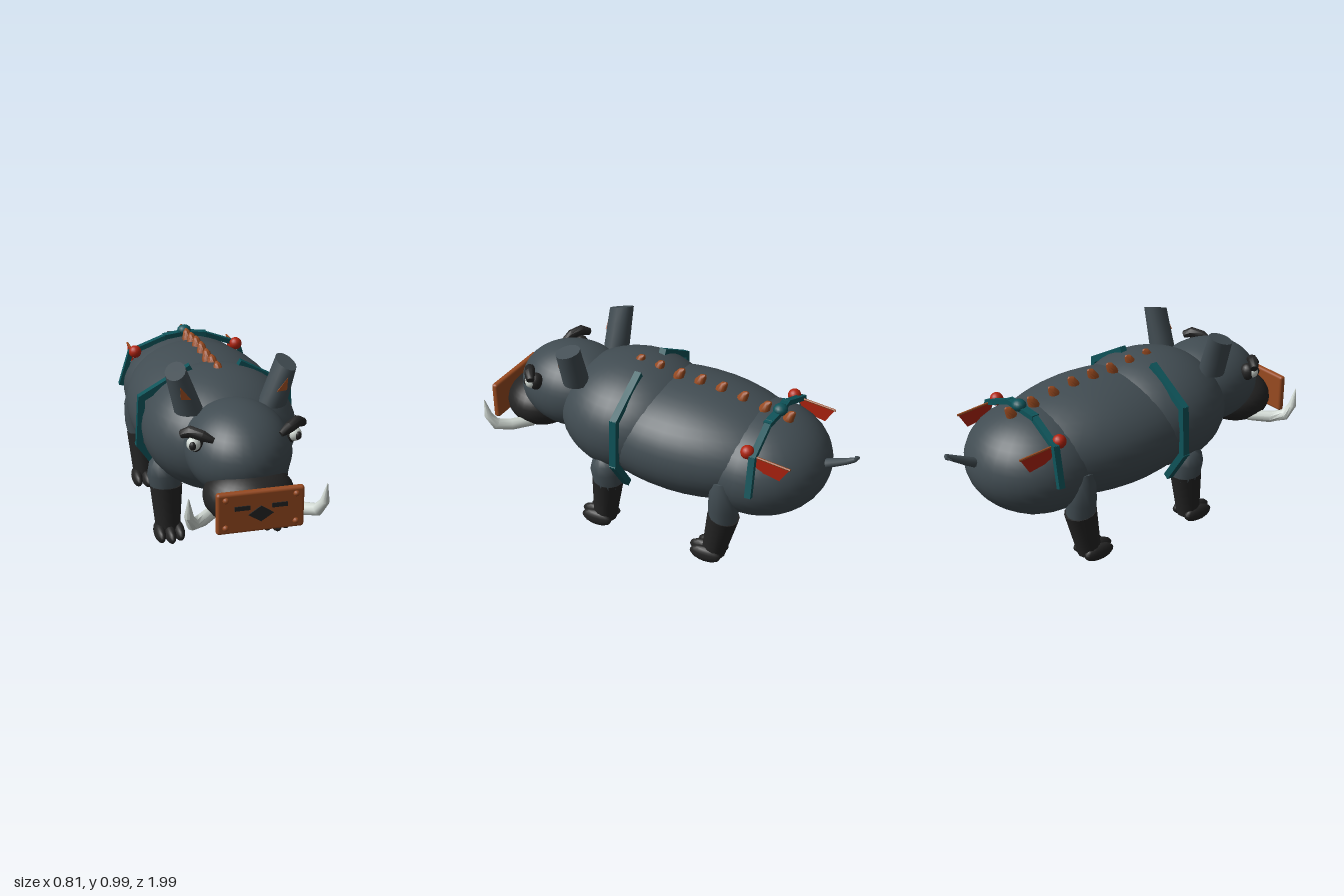
import * as THREE from 'three';
import { toCreasedNormals } from 'three/addons/utils/BufferGeometryUtils.js';
import { RoundedBoxGeometry } from 'three/addons/geometries/RoundedBoxGeometry.js';

const V = (x, y, z) => new THREE.Vector3(x, y, z);

function material(name, color, side = THREE.FrontSide) {
  const m = new THREE.MeshStandardMaterial({ color, side });
  m.name = name;
  return m;
}

// Closed tube through points [x, y, z, radius], with flat ends
function taper(points, sides = 12, crease = 0.8) {
  const pos = [], index = [], n = points.length;
  const p = points.map(q => V(q[0], q[1], q[2]));
  p.forEach((c, i) => {
    const t = p[Math.min(i + 1, n - 1)].clone().sub(p[Math.max(i - 1, 0)]).normalize();
    const ref = Math.abs(p[n - 1].y - p[0].y) > 0.14 && Math.abs(t.z) < 0.9 ? V(0, 0, 1) : V(0.3, 1, 0);
    const u = ref.addScaledVector(t, -ref.dot(t)).normalize();
    const v = t.clone().cross(u);
    for (let j = 0; j < sides; j++) {
      const a = j / sides * Math.PI * 2, r = points[i][3];
      const k = c.clone().addScaledVector(u, Math.cos(a) * r).addScaledVector(v, Math.sin(a) * r);
      pos.push(k.x, k.y, k.z);
    }
  });
  pos.push(...p[0].toArray(), ...p[n - 1].toArray());
  const first = n * sides, last = first + 1;
  for (let j = 0; j < sides; j++) {
    const k = (j + 1) % sides;
    for (let i = 0; i < n - 1; i++) {
      const a = i * sides + j, b = i * sides + k;
      index.push(a, b, a + sides, b, b + sides, a + sides);
    }
    index.push(first, k, j, last, (n - 1) * sides + j, (n - 1) * sides + k);
  }
  const g = new THREE.BufferGeometry();
  g.setAttribute('position', new THREE.Float32BufferAttribute(pos, 3));
  g.setIndex(index);
  return toCreasedNormals(g, crease);
}

export function createModel() {
  const hide = material('slate hide', 0x414c52);
  const dark = material('black', 0x242424);
  const rust = material('rust orange', 0x984a20);
  const teal = material('teal cloth', 0x0e5359);
  const red = material('red', 0xb0230f, THREE.DoubleSide);
  const ivory = material('ivory', 0xd0d8d2);

  const boar = new THREE.Group();
  boar.name = 'boar';
  boar.rotation.y = -0.05;
  const add = (name, geo, mat) => {
    const m = new THREE.Mesh(geo, mat);
    m.name = name;
    boar.add(m);
    return m;
  };
  const ball = (name, mat, c, r, detail = 24) => {
    const m = add(name, new THREE.SphereGeometry(1, detail, Math.ceil(detail * 0.7)), mat);
    m.position.set(...c);
    m.scale.set(...r);
    return m;
  };
  // Chain of flat strap pieces
  const strap = (name, pts, width, thick) => {
    for (let i = 0; i < pts.length - 1; i++) {
      const a = V(...pts[i]), b = V(...pts[i + 1]);
      const m = add(name, new THREE.BoxGeometry(width, thick, a.distanceTo(b) + thick * 0.6), teal);
      const d = b.clone().sub(a).normalize();
      const x = V(0, 0, 1).addScaledVector(d, -d.z).normalize();
      m.quaternion.setFromRotationMatrix(new THREE.Matrix4().makeBasis(x, d.clone().cross(x), d));
      m.position.copy(a).add(b).multiplyScalar(0.5);
    }
  };
  const plate = (name, pts, depth, mat) => {
    const shape = new THREE.Shape(pts.map(q => new THREE.Vector2(...q)));
    return add(name, new THREE.ExtrudeGeometry(shape, { depth, bevelEnabled: false }), mat);
  };

  // Body, head and snout
  ball('rump', hide, [0, 0.5, -0.5], [0.35, 0.267, 0.347], 32);
  ball('belly', hide, [0, 0.537, -0.12], [0.39, 0.285, 0.62], 32);
  ball('shoulders', hide, [0, 0.565, 0.2], [0.38, 0.3, 0.4], 32);
  ball('head', hide, [0, 0.615, 0.57], [0.25, 0.22, 0.295], 32);
  ball('snout', dark, [0, 0.475, 0.775], [0.212, 0.138, 0.19], 28);

  // Face plate with rivets, slots and diamond
  add('facePlate', new RoundedBoxGeometry(0.4, 0.2, 0.035, 3, 0.014), rust).position.set(0, 0.49, 0.96);
  for (const x of [-0.16, 0.16]) for (const y of [0.425, 0.56])
    ball('rivet', rust, [x, y, 0.978], [0.014, 0.014, 0.014], 12);
  for (const x of [-0.085, 0.085])
    add('plateSlot', new THREE.BoxGeometry(0.07, 0.021, 0.008), dark).position.set(x, 0.515, 0.978);
  plate('plateDiamond', [[-0.058, 0.48], [0, 0.442], [0.058, 0.48], [0, 0.519]], 0.008, dark).position.z = 0.974;

  // Spikes along the back, leaning backwards
  const spikes = [[0.18, 0.855], [0.07, 0.85], [-0.045, 0.838], [-0.16, 0.835],
    [-0.275, 0.825], [-0.39, 0.805], [-0.51, 0.785], [-0.635, 0.765]];
  for (const [z, y] of spikes)
    add('backSpike', taper([[0, y - 0.06, z + 0.025, 0.031], [0, y - 0.01, z + 0.01, 0.027],
      [0, y + 0.018, z - 0.007, 0.019], [0, y + 0.03, z - 0.02, 0.006]], 10), rust);

  // Tail with a small hook
  add('tail', taper([[0, 0.54, -0.79, 0.026], [0.005, 0.58, -0.87, 0.022], [0.012, 0.615, -0.94, 0.016],
    [0.014, 0.635, -0.975, 0.012], [-0.008, 0.637, -0.985, 0.008], [-0.024, 0.627, -0.965, 0.003]], 8), hide);

  // Knot on the rump strap
  ball('strapKnot', teal, [0, 0.79, -0.58], [0.038, 0.03, 0.036], 14);
  strap('rumpStrap', [[-0.11, 0.768, -0.565], [0, 0.778, -0.575], [0.11, 0.768, -0.565]], 0.04, 0.025);

  for (const s of [1, -1]) {
    const side = s > 0 ? 'left' : 'right';

    // Legs: hide above, black below, three toes each
    for (const [end, zt, zb, upper] of [
      ['Front', 0.23, 0.255, [[0.275, 0.26, 0.228, 0.074], [0.283, 0.36, 0.228, 0.085], [0.29, 0.41, 0.23, 0.07], [0.295, 0.44, 0.23, 0.04]]],
      ['Back', -0.425, -0.375, [[0.275, 0.25, -0.424, 0.07], [0.288, 0.36, -0.43, 0.077], [0.298, 0.46, -0.43, 0.068], [0.3, 0.515, -0.425, 0.05]]]]) {
      add(side + end + 'UpperLeg', taper(upper.map(q => [q[0] * s, ...q.slice(1)])), hide);
      add(side + end + 'LowerLeg', taper([[0.272 * s, 0.04, zb, 0.06], [0.274 * s, 0.285, zt, 0.081]], 14), dark);
      for (const k of [-1, 0, 1])
        ball(side + end + 'Toe', dark, [0.272 * s + k * 0.048, 0.045, zb + (k ? 0.025 : 0.038)],
          [0.029, 0.043, k ? 0.085 : 0.095], 14);
    }

    // Ear: flared stump with a slanted top, and a rust inner patch
    const ear = new THREE.CylinderGeometry(1, 1, 1, 16, 3);
    const p = ear.attributes.position;
    for (let i = 0; i < p.count; i++) {
      const t = p.getY(i) + 0.5, x = p.getX(i), z = p.getZ(i);
      p.setXYZ(i, s * (0.2 + 0.064 * t) + x * (0.07 - 0.022 * t),
        0.76 + 0.205 * t - t * (0.016 * s * x + 0.018 * z), 0.44 + z * 0.066);
    }
    add(side + 'Ear', toCreasedNormals(ear, 0.8), hide);
    const patch = [[0.205, 0.845], [0.252, 0.85], [0.256, 0.912]].map(q => [q[0] * s, q[1]]);
    plate(side + 'EarPatch', s > 0 ? patch : patch.reverse(), 0.008, rust).position.z = 0.5;

    // Eye, lid and brow
    ball(side + 'EyeLid', dark, [0.22 * s, 0.708, 0.672], [0.04, 0.045, 0.036], 16);
    ball(side + 'Eye', ivory, [0.236 * s, 0.71, 0.69], [0.033, 0.033, 0.033], 16);
    ball(side + 'Pupil', dark, [0.245 * s, 0.71, 0.713], [0.017, 0.021, 0.015], 12);
    add(side + 'Brow', taper([[0.285 * s, 0.75, 0.66, 0.02], [0.25 * s, 0.77, 0.685, 0.028],
      [0.2 * s, 0.758, 0.72, 0.026], [0.155 * s, 0.738, 0.74, 0.014]], 8), dark);

    // Tusk curving out and up
    add(side + 'Tusk', taper([[0.15 * s, 0.405, 0.76, 0.03], [0.235 * s, 0.403, 0.84, 0.031],
      [0.29 * s, 0.42, 0.895, 0.03], [0.312 * s, 0.475, 0.925, 0.022], [0.316 * s, 0.57, 0.94, 0.002]], 9), ivory);

    // Chest strap and rump strap
    strap(side + 'ChestStrap', [[0.13 * s, 0.85, 0.125], [0.37 * s, 0.715, 0.125],
      [0.385 * s, 0.47, 0.125], [0.27 * s, 0.3, 0.125]], 0.036, 0.034);
    strap(side + 'RumpStrap', [[0.1 * s, 0.768, -0.565], [0.3 * s, 0.69, -0.575],
      [0.353 * s, 0.51, -0.585]], 0.032, 0.026);

    // Red bead with a pennant on a thin rod
    ball(side + 'Bead', red, [0.28 * s, 0.703, -0.54], [0.034, 0.034, 0.034], 16);
    const flag = plate(side + 'Pennant', [[0.55, 0.695], [0.6, 0.62], [0.71, 0.598], [0.755, 0.672]], 0.006, red);
    flag.rotation.y = Math.PI / 2;
    flag.position.x = 0.285 * s - 0.003;
    add(side + 'PennantRod', taper([[0.285 * s, 0.695, -0.545, 0.006], [0.285 * s, 0.674, -0.76, 0.006]], 6), rust);
  }

  const root = new THREE.Group();
  root.name = 'model';
  root.add(boar);
  return root;
}
